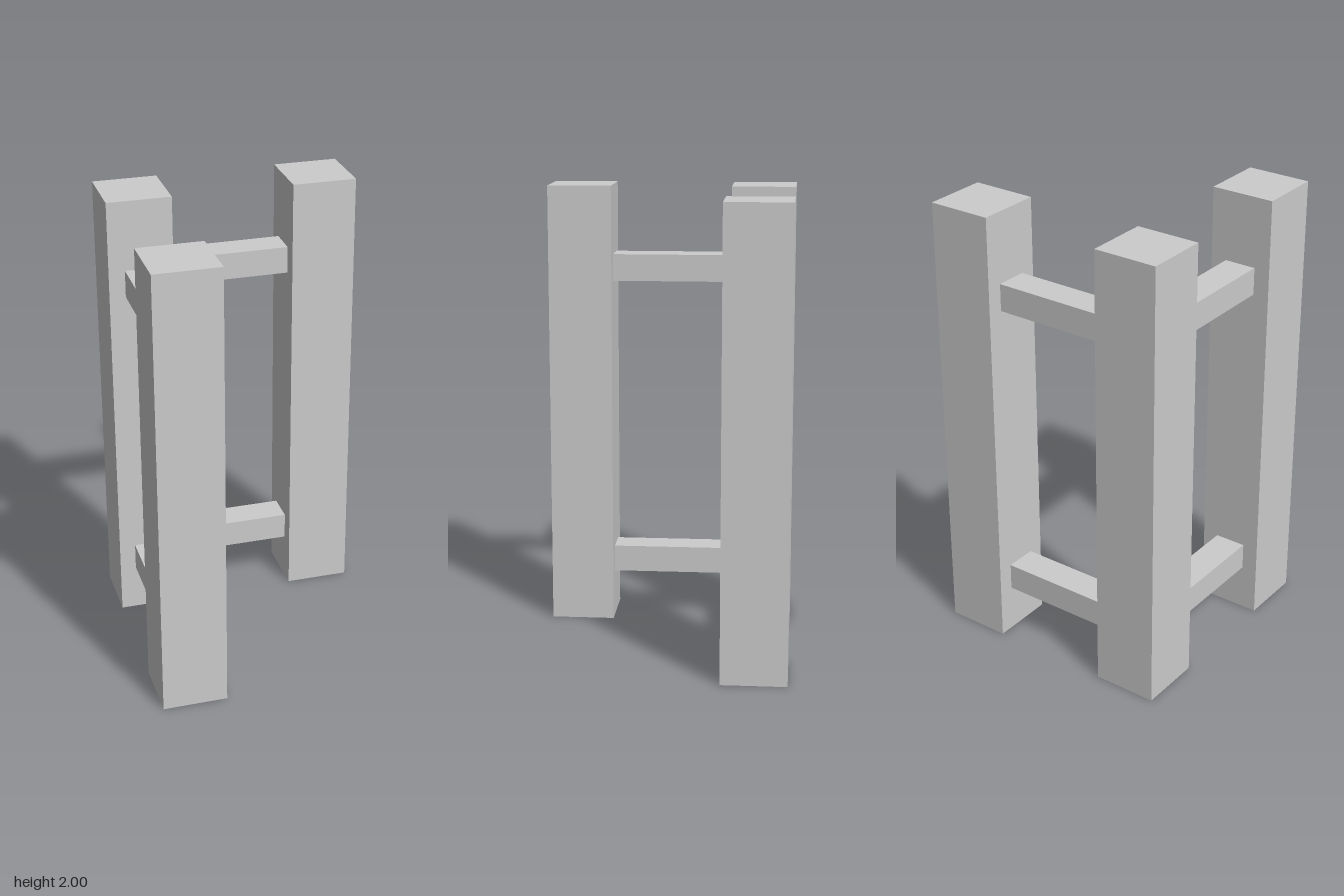
import * as THREE from 'three';

const POST = 0.283;          // post thickness
const C = 0.55 - POST / 2;   // post centre offset
const SPAN = 2 * C - POST;   // clear gap between posts

export function createModel() {
  const model = new THREE.Group();
  const material = new THREE.MeshStandardMaterial({ color: 0xcccccc, flatShading: true });

  const addBox = (name, [w, h, d], [x, y, z]) => {
    const mesh = new THREE.Mesh(new THREE.BoxGeometry(w, h, d), material);
    mesh.name = name;
    mesh.position.set(x, y, z);
    model.add(mesh);
  };

  // three square posts in an L
  addBox('cornerPost', [POST, 2, POST], [-C, 1, -C]);
  addBox('backLeftPost', [POST, 2, POST], [C, 1, -C]);
  addBox('frontRightPost', [POST, 2, POST], [-C, 1, C]);

  // lower and upper rails joining each outer post to the corner post
  for (const [level, y] of [['lower', 0.27], ['upper', 1.63]]) {
    addBox(level + 'BackRail', [SPAN, 0.12, 0.141], [0, y, -C]);
    addBox(level + 'SideRail', [0.141, 0.12, SPAN], [-C, y, 0]);
  }
  return model;
}
